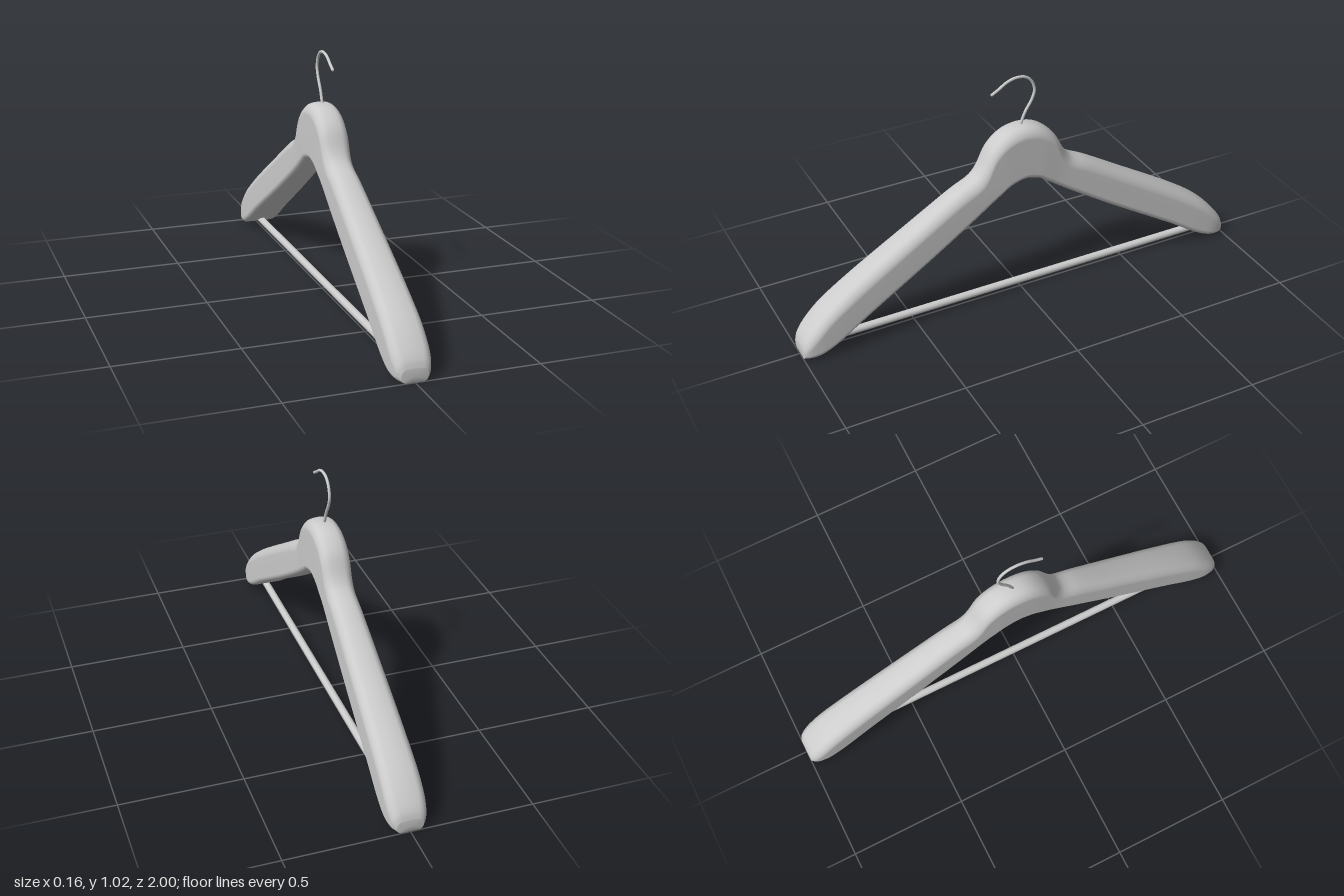
import * as THREE from 'three';

const grey = new THREE.MeshStandardMaterial({ color: 0xcccccc });

// Half of the body: [top z, top y, bottom z, bottom y, half width], centre to tip
const stations = [
  [0, 0.811, 0, 0.577, 0.062],
  [0.055, 0.803, 0.03, 0.572, 0.062],
  [0.1, 0.78, 0.07, 0.558, 0.062],
  [0.144, 0.738, 0.1, 0.536, 0.061],
  [0.187, 0.66, 0.13, 0.515, 0.06],
  [0.22, 0.622, 0.16, 0.494, 0.06],
  [0.3, 0.58, 0.24, 0.44, 0.062],
  [0.465, 0.48, 0.42, 0.325, 0.067],
  [0.785, 0.283, 0.72, 0.142, 0.076],
  [0.9, 0.198, 0.86, 0.052, 0.079],
  [0.966, 0.128, 0.93, 0.021, 0.077],
  [0.99, 0.092, 0.975, 0.013, 0.068],
  [1, 0.062, 0.998, 0.01, 0.052],
];

// Rounded section with a crowned top; counterclockwise [x, height] points
function section(halfWidth, height) {
  const points = [];
  const crown = Math.min(0.014, height * 0.1);
  const rTop = Math.min(0.034, height * 0.38), rBottom = Math.min(0.024, height * 0.35);
  const corners = [[1, -1, rBottom], [1, 1, rTop], [-1, 1, rTop], [-1, -1, rBottom]];
  corners.forEach(([sx, sy, r], k) => {
    for (let i = 0; i <= 6; i++) {
      const a = (k - 1 + i / 6) * Math.PI / 2;
      const x = sx * (halfWidth - r) + r * Math.cos(a);
      let y = (sy > 0 ? height - r : r) + r * Math.sin(a);
      if (sy > 0) y -= crown * (x / halfWidth) ** 2;
      points.push([x, y]);
    }
    // Extra points along the crowned top and flat underside
    if (k % 2) {
      for (const f of [0.5, 0, -0.5]) {
        const x = sx * f * (halfWidth - r);
        points.push([x, sy > 0 ? height - crown * (x / halfWidth) ** 2 : 0]);
      }
    }
  });
  return points;
}

// Loft the sections between a top rail and a bottom rail
function bodyGeometry() {
  const mirrored = stations.slice(1).reverse().map(([tz, ty, bz, by, w]) => [-tz, ty, -bz, by, w]);
  const all = [...mirrored, ...stations];
  const top = new THREE.CatmullRomCurve3(all.map(([z, y, , , w]) => new THREE.Vector3(w, y, z)));
  const bottom = new THREE.CatmullRomCurve3(all.map(([, , z, y, w]) => new THREE.Vector3(w, y, z)));
  const rings = (all.length - 1) * 5;
  const positions = [], index = [];
  let n = 0;
  for (let i = 0; i <= rings; i++) {
    const t = top.getPoint(i / rings), b = bottom.getPoint(i / rings);
    const dy = t.y - b.y, dz = t.z - b.z, height = Math.hypot(dy, dz);
    const loop = section(t.x, height);
    n = loop.length;
    for (const [x, h] of loop) positions.push(x, b.y + dy * h / height, b.z + dz * h / height);
  }
  for (let i = 0; i < rings; i++) {
    for (let j = 0; j < n; j++) {
      const a = i * n + j, b = i * n + (j + 1) % n;
      index.push(a, b, b + n, a, b + n, a + n);
    }
  }
  // Slightly domed end caps
  const back = positions.length / 3, front = back + 1, last = rings * n;
  positions.push(0, 0.035, -1, 0, 0.035, 1);
  for (let j = 0; j < n; j++) {
    const k = (j + 1) % n;
    index.push(back, k, j, front, last + j, last + k);
  }
  const geometry = new THREE.BufferGeometry();
  geometry.setAttribute('position', new THREE.Float32BufferAttribute(positions, 3));
  geometry.setIndex(index);
  geometry.computeVertexNormals();
  return geometry;
}

export function createModel() {
  const model = new THREE.Group();
  model.name = 'coatHanger';
  const add = (name, geometry) => {
    const mesh = new THREE.Mesh(geometry, grey);
    mesh.name = name;
    model.add(mesh);
    return mesh;
  };

  // Shaped body with both shoulder arms
  add('hangerBody', bodyGeometry());

  // Trouser bar between the arm ends
  const bar = add('trouserBar', new THREE.CylinderGeometry(0.016, 0.016, 1.8, 20));
  bar.rotation.x = Math.PI / 2;
  bar.position.y = 0.045;

  // Wire hook, opening towards the front, with a rounded tip
  const wire = 0.006;
  const path = [
    [0.01, 0.78], [-0.003, 0.815], [-0.022, 0.86], [-0.052, 0.91], [-0.063, 0.95], [-0.05, 0.99],
    [-0.022, 1.015], [0.02, 1.021], [0.06, 1.01], [0.095, 0.988], [0.125, 0.971],
  ].map(([z, y]) => new THREE.Vector3(0, y, z));
  add('hook', new THREE.TubeGeometry(new THREE.CatmullRomCurve3(path), 80, wire, 12));
  add('hookTip', new THREE.SphereGeometry(wire, 12, 8)).position.copy(path[path.length - 1]);

  return model;
}
